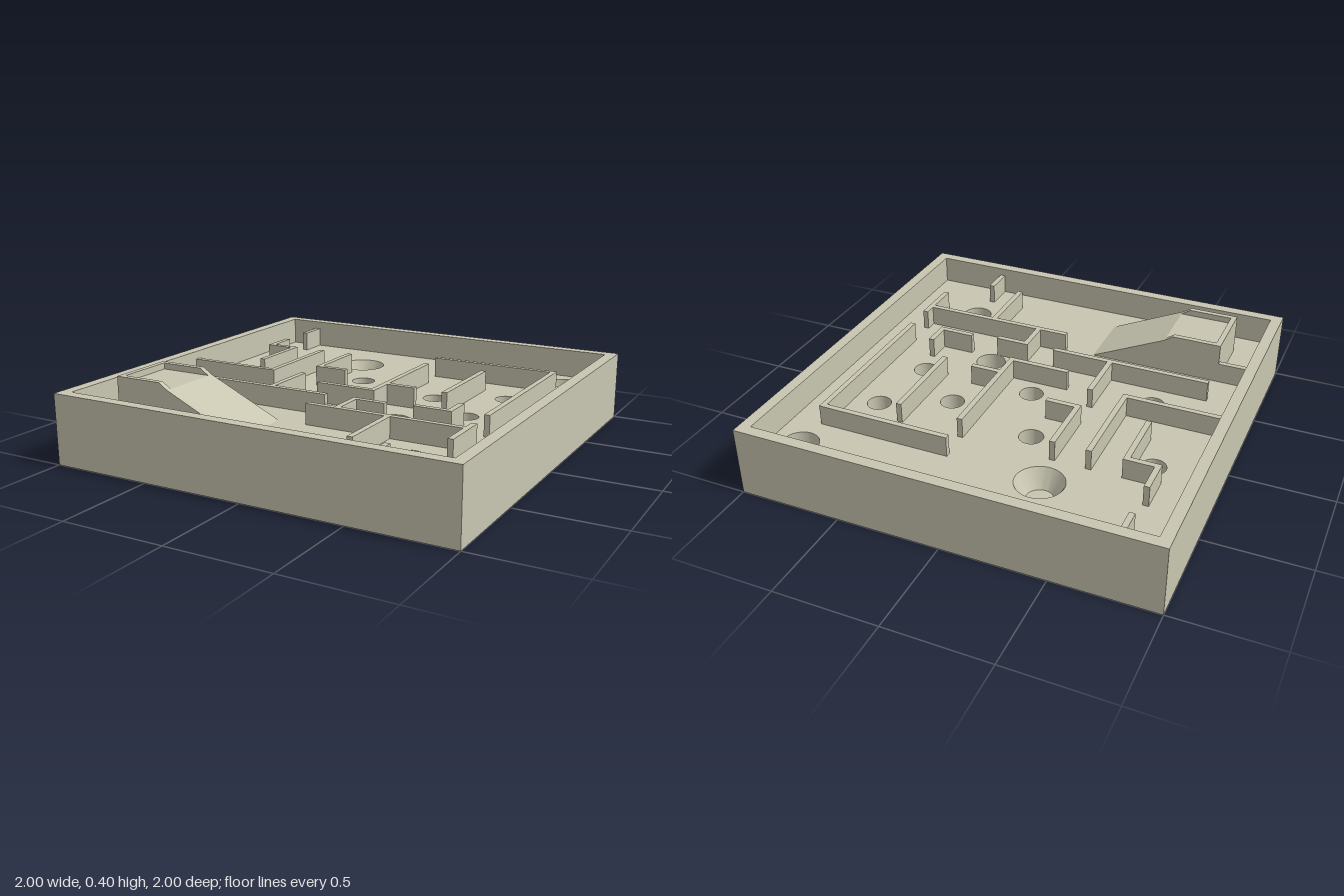
import * as THREE from 'three';
import { toCreasedNormals } from 'three/addons/utils/BufferGeometryUtils.js';

const FLOOR = 0.2, WALL_TOP = 0.3, RIM_TOP = 0.34, INNER = 0.945, T = 0.027;
const CUP = { x: -0.315, z: -0.64, r: 0.115 };

// Holes through the floor: x, z, radius
const HOLES = [
  [0.8, -0.8, 0.087], [0.64, -0.365, 0.058], [-0.733, -0.338, 0.058],
  [-0.145, -0.338, 0.058], [0.322, -0.215, 0.058], [0, 0, 0.058],
  [0.582, 0, 0.058], [-0.57, 0.145, 0.058], [0.312, 0.2, 0.073],
  [-0.873, 0.568, 0.058], [0.597, 0.635, 0.073],
];

// Walls running along x: start x, end x, back edge z
const X_WALLS = [
  [-0.8, -0.63, -0.47], [-0.945, -0.46, 0], [-0.315, -0.145, -0.172],
  [0.14, 0.31, -0.03], [-0.145, 0.167, 0.1], [0.14, 0.797, -0.63],
  [-0.8, 0, 0.273], [0.44, 0.627, 0.243], [0.14, 0.31, 0.273],
  [0, 0.797, 0.443], [-0.945, -0.8, 0.47],
];

// Walls running along z: left edge x, start z, end z
const Z_WALLS = [
  [-0.8, -0.945, -0.8], [-0.8, -0.615, -0.443], [-0.657, -0.47, -0.145],
  [-0.487, -0.47, 0.027], [-0.315, -0.47, -0.145], [0.14, -0.47, 0.127],
  [0.455, -0.47, 0], [0.77, -0.63, 0.245], [-0.315, 0, 0.3],
  [0.6, 0.13, 0.27], [0.14, 0.273, 0.47], [0.77, 0.385, 0.63],
  [0.4, 0.443, 0.8], [0.573, 0.8, 0.945],
];

function square(h) {
  return new THREE.Shape([[-h, -h], [h, -h], [h, h], [-h, h]].map(p => new THREE.Vector2(...p)));
}

// Extrude a plan shape (its y is -z) upward from the ground
function extrudeUp(shape, height) {
  const geo = new THREE.ExtrudeGeometry(shape, { depth: height, bevelEnabled: false, curveSegments: 40 });
  return toCreasedNormals(geo.rotateX(-Math.PI / 2), 0.6);
}

// Extrude a side profile (x, y) between two z positions
function extrudeSide(points, z0, z1) {
  const shape = new THREE.Shape(points.map(p => new THREE.Vector2(...p)));
  return new THREE.ExtrudeGeometry(shape, { depth: z1 - z0, bevelEnabled: false }).translate(0, 0, z0);
}

function block(x0, x1, y0, y1, z0, z1) {
  return new THREE.BoxGeometry(x1 - x0, y1 - y0, z1 - z0)
    .translate((x0 + x1) / 2, (y0 + y1) / 2, (z0 + z1) / 2);
}

export function createModel() {
  const group = new THREE.Group();
  const material = new THREE.MeshStandardMaterial({ color: 0xc8c6b0 });
  const add = (name, geometry, parent = group) => {
    const mesh = new THREE.Mesh(geometry, material);
    mesh.name = name;
    parent.add(mesh);
    return mesh;
  };

  // Outer frame
  const frame = square(1);
  frame.holes.push(square(INNER));
  add('frame', extrudeUp(frame, RIM_TOP));

  // Thick floor with drop holes and a socket for the cup
  const floor = square(INNER);
  for (const [x, z, r] of [...HOLES, [CUP.x, CUP.z, CUP.r]]) {
    floor.holes.push(new THREE.Path().absarc(x, -z, r, 0, Math.PI * 2, true));
  }
  add('floor', extrudeUp(floor, FLOOR));

  // Blind conical cup sunk into the floor
  const profile = [[0, 0], [CUP.r, 0], [CUP.r, FLOOR], [0.063, 0.11], [0, 0.11]];
  const cup = new THREE.LatheGeometry(profile.map(p => new THREE.Vector2(...p)), 80);
  add('cup', toCreasedNormals(cup, 0.6)).position.set(CUP.x, 0, CUP.z);

  // Maze walls
  const walls = new THREE.Group();
  walls.name = 'mazeWalls';
  group.add(walls);
  for (const [x0, x1, z] of X_WALLS) add('crossWall', block(x0, x1, FLOOR, WALL_TOP, z, z + T), walls);
  for (const [x, z0, z1] of Z_WALLS) add('lengthWall', block(x, x + T, FLOOR, WALL_TOP, z0, z1), walls);

  // Raised starting platform that slopes down to the floor
  const ramp = new THREE.Group();
  ramp.name = 'startRamp';
  group.add(ramp);
  add('platform', extrudeSide([[-0.8, FLOOR], [-0.145, FLOOR], [-0.515, 0.37], [-0.8, 0.37]], 0.47, 0.8), ramp);

  // Low lip around three sides of the platform
  const lip = [[-0.8, 0.37], [-0.515, 0.37], [-0.56, 0.4], [-0.8, 0.4]];
  for (const z of [0.47, 0.8 - T]) add('sideLip', extrudeSide(lip, z, z + T), ramp);
  add('endLip', block(-0.8, -0.8 + T, 0.37, 0.4, 0.47 + T, 0.8 - T), ramp);

  return group;
}
